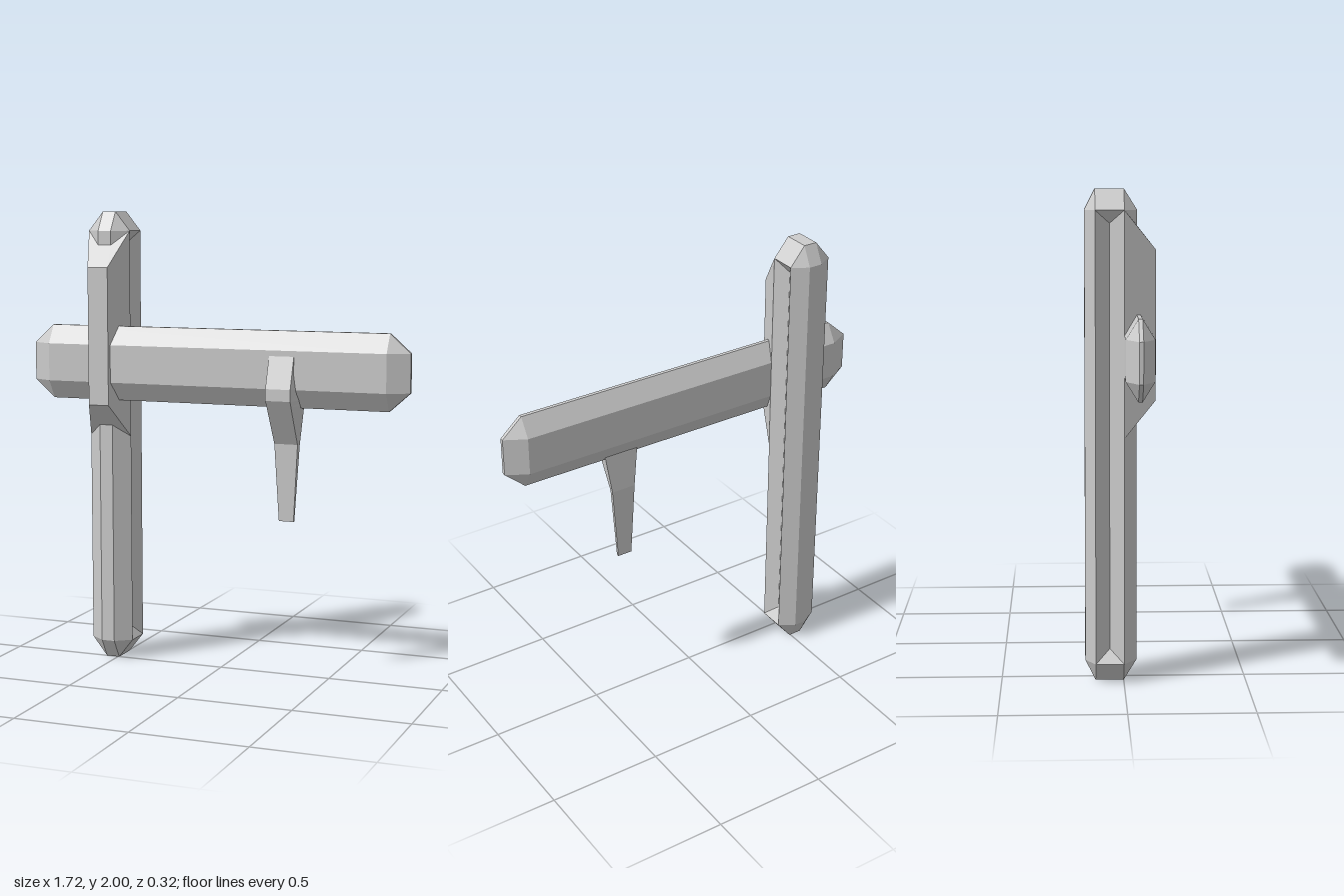
import * as THREE from 'three';

const material = new THREE.MeshStandardMaterial({ color: 0xcccccc, flatShading: true });

// Skins a list of equal-length rings (counter-clockwise seen from the last ring).
function loft(name, rings, capStart = true) {
  const out = [];
  const tri = (a, b, c) => {
    const [A, B, C] = [a, b, c].map(p => new THREE.Vector3(...p));
    if (B.clone().sub(A).cross(C.clone().sub(A)).length() < 1e-9) return;
    out.push(...a, ...b, ...c);
  };
  const n = rings[0].length;
  for (let r = 0; r < rings.length - 1; r++) {
    const a = rings[r], b = rings[r + 1];
    for (let i = 0; i < n; i++) {
      const j = (i + 1) % n;
      tri(a[i], a[j], b[j]);
      tri(a[i], b[j], b[i]);
    }
  }
  const first = rings[0], last = rings[rings.length - 1];
  for (let i = 1; i < n - 1; i++) {
    tri(last[0], last[i], last[i + 1]);
    if (capStart) tri(first[0], first[i + 1], first[i]);
  }
  const geometry = new THREE.BufferGeometry();
  geometry.setAttribute('position', new THREE.Float32BufferAttribute(out, 3));
  geometry.computeVertexNormals();
  const mesh = new THREE.Mesh(geometry, material);
  mesh.name = name;
  return mesh;
}

const clamp = THREE.MathUtils.clamp;

// Upright post: hexagonal, bevelled ends, V groove along both sides
function makePost() {
  const w = 0.0975, t = 0.03, zf = 0, zb = -0.115, zm = -0.0575, inset = 0.04;
  const section = [
    [w, zf], [w, zm], [w, zb], [t, -0.157], [-t, -0.157],
    [-w, zb], [-w, zm], [-w, zf], [-t, 0.052], [t, 0.052],
  ];
  const ring = y => section.map(([x, z]) => [x, y, z]);
  const tip = y => section.map(([x, z]) => [clamp(x, -t, t), y, clamp(z, zb, zf)]);
  const grooved = (y, yGroove) => section.map(([x, z]) =>
    z === zm ? [x - Math.sign(x) * inset, yGroove, z] : [x, y, z]);
  return loft('post', [
    tip(0), ring(0.085), grooved(0.085, 0.14),
    grooved(1.917, 1.865), ring(1.917), tip(2),
  ]);
}

// Horizontal beam: flattened octagon with tapered ends
function makeBeam() {
  const h = 0.1625, s = 0.082, d = 0.0575, e = 0.008;
  const section = [[h, -e], [h, e], [s, d], [-s, d], [-h, e], [-h, -e], [-s, -d], [s, -d]];
  const ring = x => section.map(([y, z]) => [x, y, z]);
  const tip = x => section.map(([y, z]) => [x, clamp(y, -s, s), clamp(z, -e, e)]);
  const beam = loft('beam', [tip(-0.86), ring(-0.77), ring(0.77), tip(0.86)]);
  beam.position.set(0, 1.342, 0.0575);
  return beam;
}

// Clamp block that holds the beam against the post
function makeClamp() {
  const w = 0.0975, t = 0.03, f = 0.047;
  const back = [
    [w, 1.917, 0], [t, 1.855, 0.052], [-t, 1.855, 0.052], [-w, 1.917, 0],
    [-w, 1.012, 0], [-t, 1.065, 0.052], [t, 1.065, 0.052], [w, 1.012, 0],
  ];
  const front = back.map(([x, y]) => [Math.sign(x) * f, y > 1.5 ? 1.76 : 1.16, 0.127]);
  return loft('clampBlock', [back, front], false);
}

// Hanging peg: rings of [y, back half width, back z, front half width, front z]
function makePeg() {
  const rings = [
    [0.685, 0.033, 0.03, 0.033, 0.042],
    [1.02, 0.055, 0.028, 0.052, 0.05],
    [1.19, 0.078, 0.04, 0.054, 0.146],
    [1.215, 0.078, 0.045, 0.055, 0.16],
    [1.265, 0.074, 0.05, 0.055, 0.16],
    [1.4, 0.055, 0.05, 0.055, 0.115],
  ].map(([y, wb, zb, wf, zf]) => [[wf, y, zf], [wb, y, zb], [-wb, y, zb], [-wf, y, zf]]);
  const peg = loft('peg', rings);
  peg.position.x = 0.315;
  return peg;
}

export function createModel() {
  const model = new THREE.Group();
  model.name = 'postAndBeam';
  const upright = new THREE.Group();
  upright.name = 'upright';
  upright.position.x = -0.525;
  upright.add(makePost(), makeClamp());
  model.add(upright, makeBeam(), makePeg());
  return model;
}
